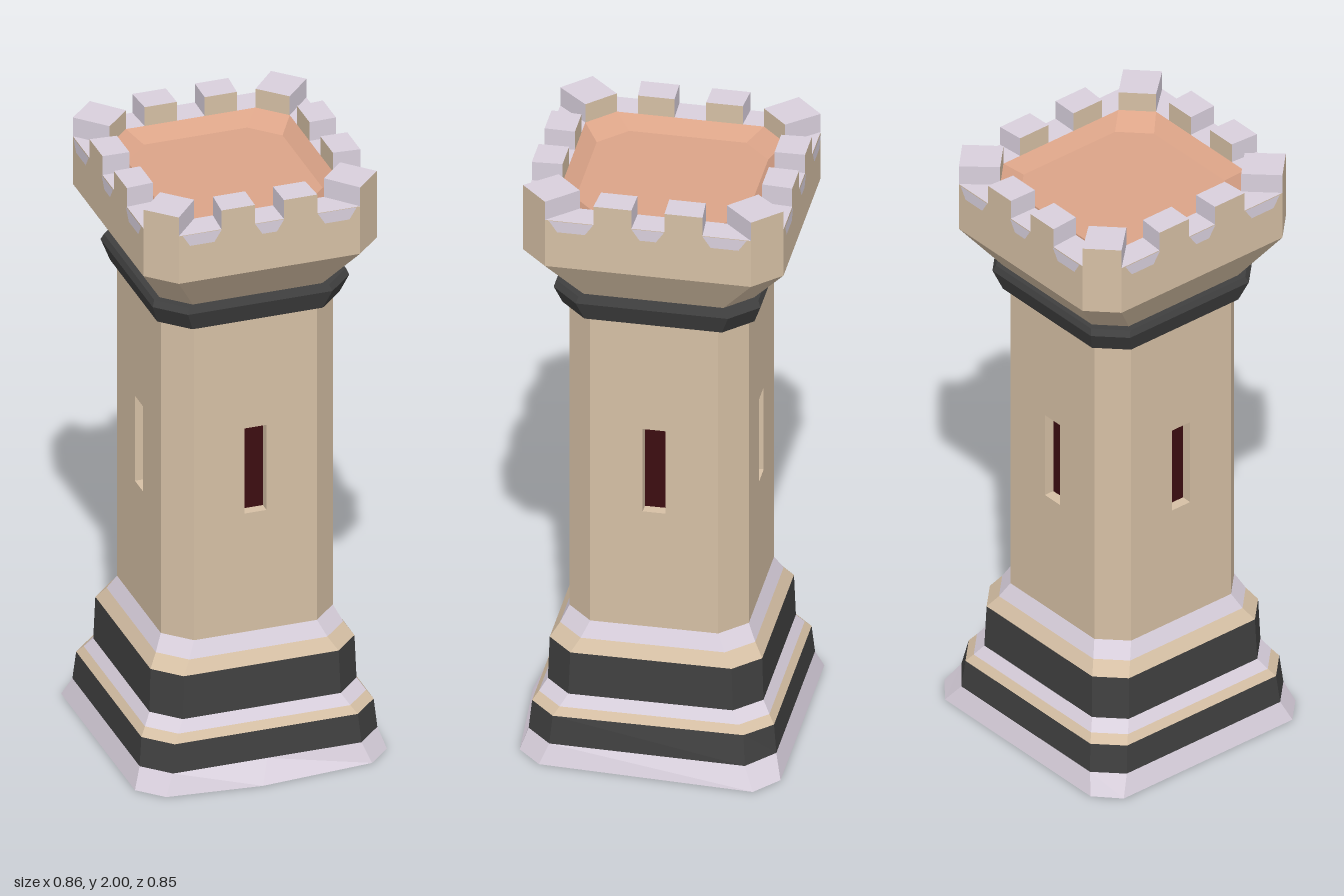
import * as THREE from 'three';

const material = (name, color) => {
  const m = new THREE.MeshStandardMaterial({ color });
  m.name = name;
  return m;
};

// Chamfered rectangle in plan, with half sizes hx, hz, at height y
const octagon = (hx, hz, c, y) => [
  [hx, c - hz], [hx, hz - c], [hx - c, hz], [c - hx, hz],
  [-hx, hz - c], [-hx, c - hz], [c - hx, -hz], [hx - c, -hz],
].map(([x, z]) => new THREE.Vector3(x, y, z));

// Flat-shaded geometry from a list of four-cornered faces
function facesGeometry(quads) {
  const points = quads.flatMap(([a, b, c, d]) => [a, b, c, a, c, d]);
  const g = new THREE.BufferGeometry().setFromPoints(points);
  g.computeVertexNormals();
  return g;
}

const loft = (lower, upper) => facesGeometry(lower.map((p, i) => {
  const j = (i + 1) % lower.length;
  return [p, upper[i], upper[j], lower[j]];
}));

// Closes a ring with a fan, facing up or down
function cap(ring, up) {
  const centre = new THREE.Vector3(0, ring[0].y, 0);
  const points = ring.flatMap((p, i) => {
    const q = ring[(i + 1) % ring.length];
    return up ? [centre, q, p] : [centre, p, q];
  });
  const g = new THREE.BufferGeometry().setFromPoints(points);
  g.computeVertexNormals();
  return g;
}

export function createModel() {
  const stone = material('tan stone', 0xd6c0a5);
  const trim = material('pale lavender stone', 0xd9d0dd);
  const dark = material('dark stone', 0x404040);
  const clay = material('clay floor', 0xdca488);
  const red = material('dark red window', 0x3c0d11);

  const model = new THREE.Group();
  model.name = 'tower';
  const tower = new THREE.Group();
  tower.name = 'towerParts';
  tower.position.set(-0.018, 0, -0.015);
  model.add(tower);
  const add = (name, geometry, mat, parent = tower) => {
    const mesh = new THREE.Mesh(geometry, mat);
    mesh.name = name;
    parent.add(mesh);
    return mesh;
  };

  // Uneven foot, with a bulge in the middle of its front edge
  const foot = [
    [0.443, -0.34], [0.408, 0.335], [0.333, 0.41], [-0.032, 0.44], [-0.337, 0.41],
    [-0.412, 0.335], [-0.412, -0.34], [-0.337, -0.41], [0.358, -0.41],
  ].map(([x, z]) => new THREE.Vector3(x, 0, z));
  const footTop = octagon(0.387, 0.387, 0.08, 0.065);
  footTop[0].x += 0.015;
  const footTopMid = [...footTop];
  footTopMid.splice(3, 0, footTop[2].clone().lerp(footTop[3], 0.5));
  add('footUnderside', cap(foot, false), dark);
  add('foot', loft(foot, footTopMid), trim);

  // Stepped base: half width, height, material of the band below
  let ring = footTop;
  [
    [0.378, 0.16, dark, 'lowerDarkBand'],
    [0.36, 0.185, stone, 'lowerTanSlope'],
    [0.337, 0.22, trim, 'lowerPaleSlope'],
    [0.332, 0.365, dark, 'upperDarkBand'],
    [0.305, 0.405, stone, 'upperTanSlope'],
    [0.28, 0.455, trim, 'upperPaleSlope'],
  ].forEach(([h, y, mat, name]) => {
    const next = octagon(h, h, 0.08, y);
    add(name, loft(ring, next), mat);
    ring = next;
  });

  // Shaft: four walls with recessed window slits, joined by chamfers
  const wall = new THREE.Shape();
  wall.moveTo(-0.2, 0.45).lineTo(0.2, 0.45).lineTo(0.2, 1.6).lineTo(-0.2, 1.6).closePath();
  const slit = new THREE.Path();
  slit.moveTo(-0.036, 0.865).lineTo(-0.036, 1.16).lineTo(0.036, 1.16).lineTo(0.036, 0.865).closePath();
  wall.holes.push(slit);
  const wallGeometry = new THREE.ExtrudeGeometry(wall, { depth: 0.04, bevelEnabled: false });
  wallGeometry.translate(0, 0, 0.24);
  const v = (x, y, z) => new THREE.Vector3(x, y, z);
  const chamfer = facesGeometry([[v(0.28, 0.45, 0.2), v(0.28, 1.6, 0.2), v(0.2, 1.6, 0.28), v(0.2, 0.45, 0.28)]]);
  for (let k = 0; k < 4; k++) {
    const side = new THREE.Group();
    side.name = 'shaftSide';
    side.rotation.y = k * Math.PI / 2;
    add('shaftWall', wallGeometry, stone, side);
    add('shaftChamfer', chamfer, stone, side);
    add('windowSlit', new THREE.PlaneGeometry(0.076, 0.3), red, side).position.set(0, 1.0125, 0.246);
    tower.add(side);
  }

  // Dark collar under the crown
  const collar = [[0.27, 1.545], [0.297, 1.545], [0.32, 1.61], [0.312, 1.63], [0.28, 1.63]]
    .map(([h, y]) => octagon(h, h + 0.003, 0.085, y));
  for (let i = 0; i < 4; i++) add('collar', loft(collar[i], collar[i + 1]), dark);

  // Crown: corbel, parapet and sunken roof
  const SILL = 1.935;
  const crown = (y) => octagon(0.38, 0.407, 0.085, y);
  const inner = (y) => octagon(0.293, 0.312, 0.082, y);
  const floor = octagon(0.253, 0.268, 0.085, 1.895);
  add('corbel', loft(octagon(0.288, 0.295, 0.08, 1.625), crown(1.77)), stone);
  add('parapet', loft(crown(1.77), crown(SILL)), stone);
  add('parapetSill', loft(crown(SILL), inner(SILL)), trim);
  add('roofSlope', loft(inner(SILL), floor), clay);
  add('roofFloor', cap(floor, true), clay);

  // Merlons, and pale plates on the wall below each gap
  const outerRing = crown(SILL), innerRing = inner(SILL);
  const raise = (p) => v(p.x, 2, p.z);
  function addMerlon(name, p0, p1, q0, q1) {
    const [P0, P1, Q0, Q1] = [p0, p1, q0, q1].map(raise);
    add(name + 'Faces', facesGeometry([[p0, P0, P1, p1], [q1, Q1, Q0, q0]]), stone);
    add(name + 'TopAndSides', facesGeometry([[q0, Q0, P0, p0], [p1, P1, Q1, q1], [P0, Q0, Q1, P1]]), trim);
  }
  for (let i = 0; i < 8; i++) {
    const j = (i + 1) % 8;
    const [a, b, c, d] = [outerRing[i], outerRing[j], innerRing[i], innerRing[j]];
    if (i % 2) {
      addMerlon('cornerMerlon', a, b, c, d);
      continue;
    }
    const ratio = 0.96 * a.distanceTo(b) / c.distanceTo(d);
    const out = (t) => a.clone().lerp(b, t);
    const inn = (t) => c.clone().lerp(d, 0.5 + (t - 0.5) * ratio);
    for (const [s, e] of [[0.235, 0.42], [0.58, 0.765]]) addMerlon('merlon', out(s), out(e), inn(s), inn(e));
    const normal = a.clone().add(b).setY(0).normalize().multiplyScalar(0.003);
    for (const [s, e] of [[0.02, 0.235], [0.42, 0.58], [0.765, 0.98]]) {
      const at = (t, y) => out(t).setY(y).add(normal);
      add('gapPlate', facesGeometry([[at(s + 0.04, 1.897), at(s, SILL), at(e, SILL), at(e - 0.04, 1.897)]]), trim);
    }
  }
  return model;
}
